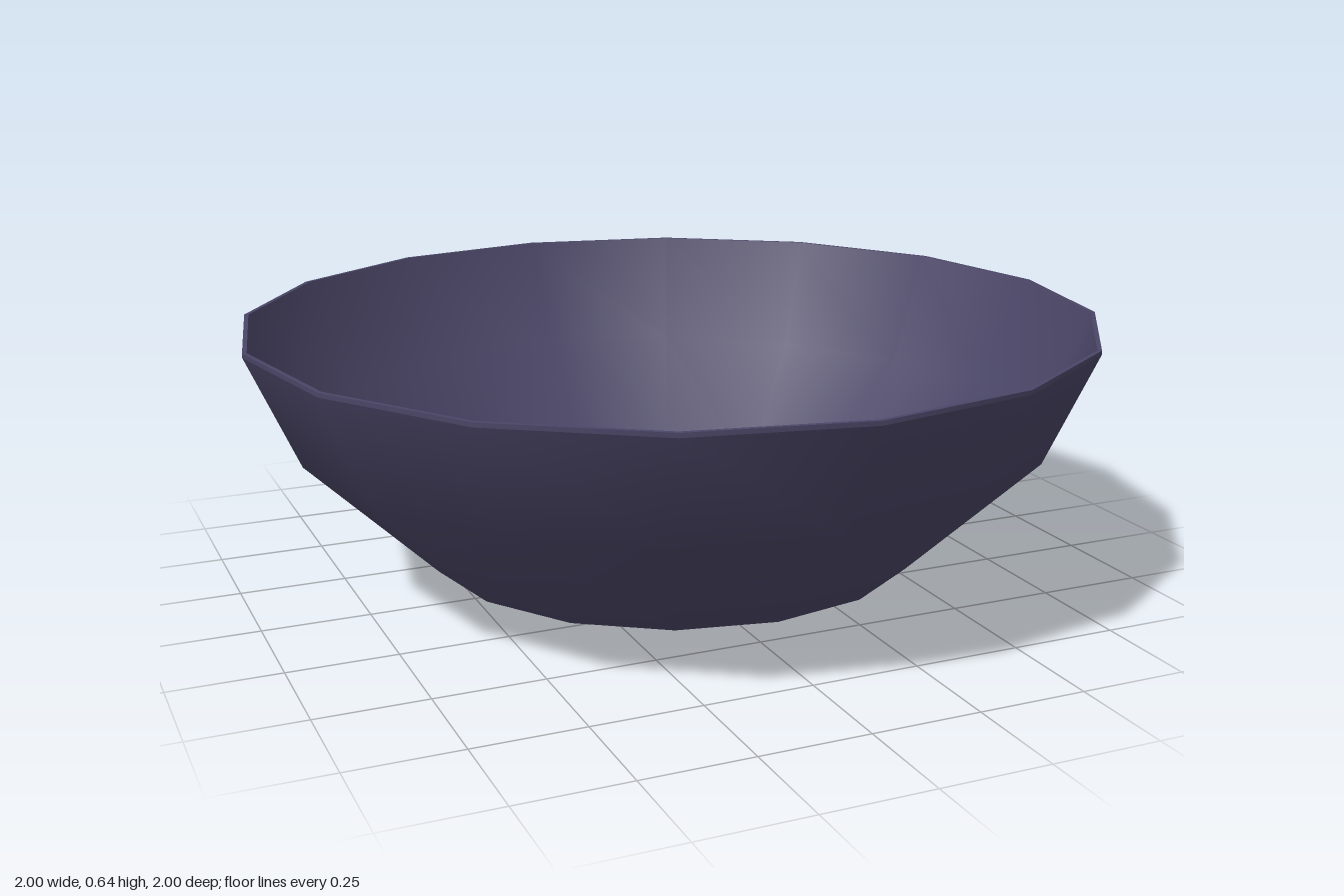
import * as THREE from 'three';

const SIDES = 16;

export function createModel() {
  const bowl = new THREE.Group();
  bowl.name = 'bowl';
  const material = new THREE.MeshStandardMaterial({ color: 0x4a4566 });

  // Each band is smooth within itself; separate bands keep the edges between them sharp.
  const addBand = (name, profile) => {
    const points = profile.map(([r, y]) => new THREE.Vector2(r, y));
    const mesh = new THREE.Mesh(new THREE.LatheGeometry(points, SIDES), material);
    mesh.name = name;
    bowl.add(mesh);
  };

  // Foot ring with its shallow recess
  addBand('footRecess', [[0, 0.02], [0.345, 0.02]]);
  addBand('footInnerWall', [[0.345, 0.02], [0.345, 0]]);
  addBand('footBase', [[0.345, 0], [0.375, 0]]);
  addBand('footOuterWall', [[0.375, 0], [0.375, 0.02]]);

  // Outside of the bowl
  addBand('underside', [[0.375, 0.02], [0.585, 0.08]]);
  addBand('outerWall', [[0.585, 0.08], [0.885, 0.37], [1, 0.63]]);

  // Thin rim
  addBand('rimEdge', [[1, 0.63], [1, 0.64]]);
  addBand('rimTop', [[1, 0.64], [0.99, 0.64]]);

  // Inside of the bowl
  addBand('innerWall', [[0.99, 0.64], [0.875, 0.375], [0.58, 0.09]]);
  addBand('floor', [[0.58, 0.09], [0, 0.09]]);

  return bowl;
}
